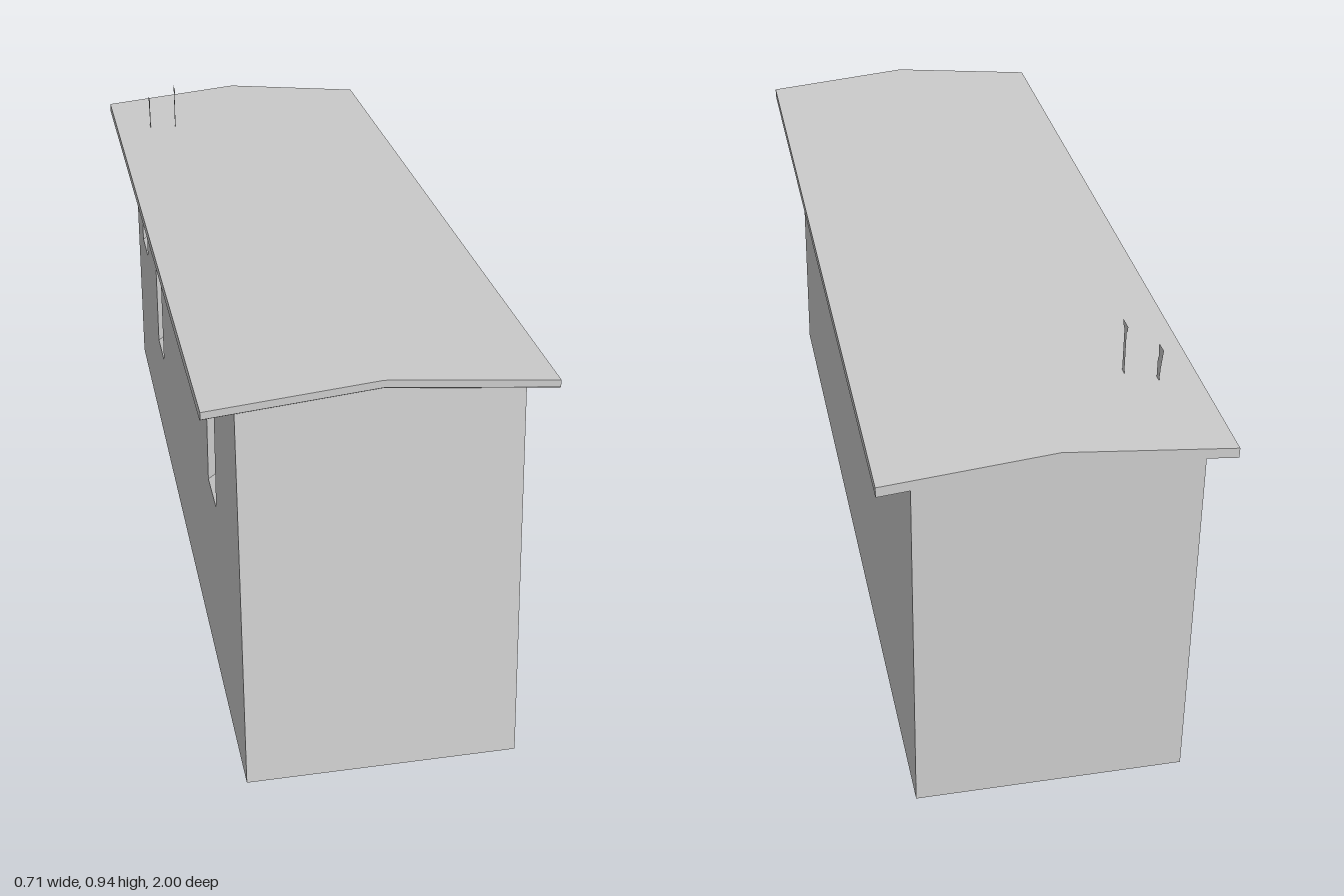
import * as THREE from 'three';

const HALF = 0.288;   // half width of the walls
const EAVE = 0.354;   // half width of the roof
const DROP = 0.034;   // fall from ridge to eave
const material = new THREE.MeshStandardMaterial({ color: 0xcccccc, flatShading: true, side: THREE.DoubleSide });

// Flat-shaded surface from quads / polygons (each a fan of [x, y, z] corners)
function surface(name, polygons) {
  const pos = [];
  for (const p of polygons)
    for (let i = 1; i < p.length - 1; i++) pos.push(...p[0], ...p[i], ...p[i + 1]);
  const geo = new THREE.BufferGeometry();
  geo.setAttribute('position', new THREE.Float32BufferAttribute(pos, 3));
  geo.computeVertexNormals();
  const mesh = new THREE.Mesh(geo, material);
  mesh.name = name;
  return mesh;
}

// Flat outline in the (z, y) plane, placed at a given x
function sidePlate(name, x, outline, holes = []) {
  const toPoints = (list) => list.map(([z, y]) => new THREE.Vector2(z, y));
  const shape = new THREE.Shape(toPoints(outline));
  shape.holes = holes.map((h) => new THREE.Path(toPoints(h)));
  const geo = new THREE.ShapeGeometry(shape).rotateY(-Math.PI / 2);
  const mesh = new THREE.Mesh(geo, material);
  mesh.name = name;
  mesh.position.x = x;
  return mesh;
}

// Recessed window: straight reveals, rising sill and a pane at the back
function windowNiche([z0, z1, y0, y1]) {
  const depth = 0.034, rise = 0.025;
  const outer = [[z0, y0], [z1, y0], [z1, y1], [z0, y1]].map(([z, y]) => [-HALF, y, z]);
  const inner = outer.map(([x, y, z], i) => [x + depth, i < 2 ? y + rise : y, z]);
  const sides = outer.map((p, i) => {
    const j = (i + 1) % 4;
    return [p, outer[j], inner[j], inner[i]];
  });
  return surface('windowNiche', [...sides, inner]);
}

// Shallow gabled roof slab, lofted through cross-sections along z
function roof() {
  const section = (z, ridge, t) => [
    [-EAVE, ridge - DROP, z], [0, ridge, z], [EAVE, ridge - DROP, z],
    [EAVE, ridge - DROP - t, z], [0, ridge - t, z], [-EAVE, ridge - DROP - t, z],
  ];
  const rings = [section(0.925, 0.877, 0.016), section(0.915, 0.8768, 0.022), section(-1, 0.835, 0.022)];
  const polygons = [];
  for (let r = 0; r < rings.length - 1; r++)
    for (let i = 0; i < 6; i++) {
      const j = (i + 1) % 6;
      polygons.push([rings[r][i], rings[r][j], rings[r + 1][j], rings[r + 1][i]]);
    }
  // end caps, split at the ridge
  const cap = ([a, b, c, d, e, f], flip) =>
    [[a, f, e, b], [b, e, d, c]].map((q) => (flip ? q.reverse() : q));
  polygons.push(...cap(rings[0], false), ...cap(rings[2], true));
  return surface('roof', polygons);
}

export function createModel() {
  const model = new THREE.Group();
  model.name = 'building';

  // Side walls; the windows are all on the -x side
  const outline = [[-1, 0], [1, 0], [0.915, 0.827], [-1, 0.786]];
  const windows = [
    [-0.863, -0.742, 0.43, 0.663],
    [-0.516, -0.395, 0.273, 0.506],
    [-0.323, -0.205, 0.5, 0.733],
    [0.5, 0.62, 0.434, 0.667],
  ];
  const holes = windows.map(([z0, z1, y0, y1]) => [[z0, y0], [z0, y1], [z1, y1], [z1, y0]]);
  model.add(sidePlate('windowWall', -HALF, outline, holes));
  model.add(sidePlate('plainWall', HALF, outline));
  windows.forEach((w) => model.add(windowNiche(w)));

  // Leaning front wall and upright back wall, each with a low gable
  model.add(surface('frontWall', [
    [[-HALF, 0, 1], [HALF, 0, 1], [HALF, 0.827, 0.915], [0, 0.855, 0.912], [-HALF, 0.827, 0.915]],
  ]));
  model.add(surface('backWall', [
    [[HALF, 0, -1], [-HALF, 0, -1], [-HALF, 0.786, -1], [0, 0.813, -1], [HALF, 0.786, -1]],
  ]));

  model.add(roof());

  // Two thin flat roof vents
  model.add(sidePlate('tallVent', -0.2, [
    [-0.722, 0.815], [-0.706, 0.815], [-0.706, 0.918], [-0.697, 0.925],
    [-0.697, 0.935], [-0.731, 0.935], [-0.731, 0.925], [-0.722, 0.918],
  ]));
  model.add(sidePlate('shortVent', -0.265, [
    [-0.752, 0.81], [-0.735, 0.81], [-0.735, 0.858], [-0.742, 0.868],
    [-0.737, 0.895], [-0.77, 0.895], [-0.757, 0.845],
  ]));

  return model;
}
